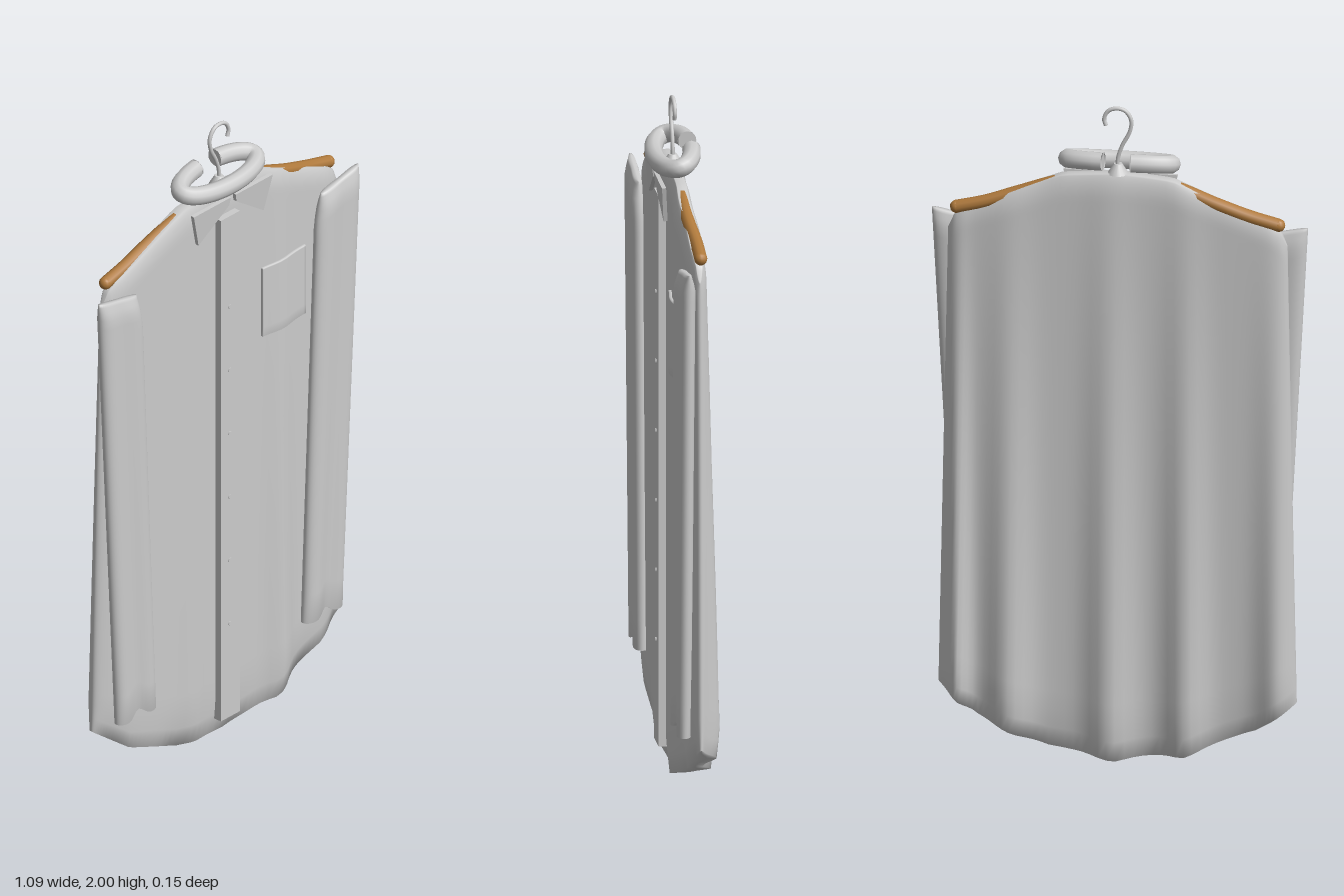
import * as THREE from 'three';

const GREY = new THREE.MeshStandardMaterial({ color: 0xcccccc, side: THREE.DoubleSide });
const WOOD = new THREE.MeshStandardMaterial({ color: 0xb07a3c });

const mix = (a, b, t) => a + (b - a) * t;
const bump = (x, c, w) => Math.exp(-(((x - c) / w) ** 2));

// Straight-line interpolation through [x, y] points
function along(points, x) {
  for (let i = 1; i < points.length; i++) {
    const [x0, y0] = points[i - 1], [x1, y1] = points[i];
    if (x <= x1) return mix(y0, y1, (x - x0) / (x1 - x0));
  }
  return points[points.length - 1][1];
}

function mesh(name, geometry, material = GREY) {
  const m = new THREE.Mesh(geometry, material);
  m.name = name;
  return m;
}

// Closed cloth volume: rings of front (+1) and back (-1) points stacked from hem to top
function clothVolume(nu, nt, point) {
  const pos = [], index = [], n = nu * 2;
  const rows = [[0, 0]];
  for (let j = 0; j <= nt; j++) rows.push([1 - (1 - j / nt) ** 1.6, 1]);
  rows.push([1, 0]);
  for (const [t, open] of rows) {
    for (let i = 0; i < n; i++) {
      const front = i < nu;
      const v = front ? -1 + (2 * i) / nu : 1 - (2 * (i - nu)) / nu;
      pos.push(...point(Math.sin((v * Math.PI) / 2), t, (front ? 1 : -1) * open));
    }
  }
  for (let j = 0; j < rows.length - 1; j++) {
    for (let i = 0; i < n; i++) {
      const a = j * n + i, b = j * n + ((i + 1) % n);
      index.push(a, b, b + n, a, b + n, a + n);
    }
  }
  const g = new THREE.BufferGeometry();
  g.setAttribute('position', new THREE.Float32BufferAttribute(pos, 3));
  g.setIndex(index);
  g.computeVertexNormals();
  return g;
}

// Shirt outline and folds
const HEM = [[0, 0], [0.2, 0.025], [0.4, 0.11], [0.52, 0.2]];
const SHOULDER = [[0, 1.8], [0.16, 1.785], [0.44, 1.668], [0.47, 1.645], [0.49, 1.6]];
const BACK_FOLDS = [[-0.47, 0.06], [-0.2, 0.055], [0.02, 0.06], [0.31, 0.06], [0.46, 0.03]];
const FRONT_FOLDS = [[-0.4, 0.08], [-0.14, 0.05], [0.22, 0.05], [0.43, 0.05]];
const FRONT_HEIGHT = [0.008, 0.014, 0.03, 0.006];

function frontZ(x, t) {
  const folds = FRONT_FOLDS.reduce((s, [c, w], i) => s + FRONT_HEIGHT[i] * bump(x, c, w), 0);
  return 0.026 + folds * mix(1, 0.15, t);
}
function backZ(x, t) {
  const folds = BACK_FOLDS.reduce((s, [c, w]) => s + 0.048 * bump(x, c, w), 0);
  return -0.028 - folds * mix(1, 0.1, t);
}
function bodyPoint(u, t, side) {
  const x = u * mix(0.518, 0.49, t);
  const y = mix(along(HEM, Math.abs(x)), along(SHOULDER, Math.abs(x)), t);
  const f = frontZ(x, t), b = backZ(x, t);
  const roundTop = t > 0.96 ? Math.sqrt(1 - 0.75 * ((t - 0.96) / 0.04) ** 2) : 1;
  const roundHem = mix(0.72, 1, Math.min(1, t / 0.06));
  const thick = Math.sqrt(Math.max(0, 1 - u ** 10)) * roundTop * roundHem;
  return [x, y, (f + b) / 2 + (side * thick * (f - b)) / 2];
}

// Flat hanging sleeve with a soft lengthwise fold
function sleevePoint(u, t, side) {
  const w = (u + 1) / 2; // 0 at the inner edge, 1 at the outer edge
  const inner = along([[0, 0.31], [0.93, 0.365], [1, 0.385]], t);
  const x = mix(inner, mix(0.468, 0.543, t), w);
  const y = mix(0.22 + 0.025 * bump(w, 0.5, 0.15), mix(1.61, 1.643, w), t);
  const crease = 0.012 * bump(w, 0.55, 0.22) * (1 - 0.6 * t);
  const thick = 0.026 * Math.sqrt(Math.max(0, 1 - u ** 4));
  const pinch = t > 0.97 ? 1 - 0.6 * (t - 0.97) / 0.03 : 1;
  return [x, y, 0.037 + side * pinch * (thick - crease)];
}

// Patch of cloth lying just in front of the body
function pocketPoint(u, t, side) {
  const x = mix(0.145, 0.33, (u + 1) / 2), y = mix(1.24, 1.465, t);
  return [x, y, frontZ(x, y / 1.8) + 0.002 + side * 0.006];
}

function tube(points, radius, steps = 40) {
  const curve = new THREE.CatmullRomCurve3(points.map((p) => new THREE.Vector3(...p)));
  return new THREE.TubeGeometry(curve, steps, radius, 10);
}

export function createModel() {
  const model = new THREE.Group();

  model.add(mesh('shirtBody', clothVolume(64, 48, bodyPoint)));

  // Sleeves
  const left = clothVolume(20, 24, sleevePoint);
  const right = clothVolume(20, 24, (u, t, s) => {
    const [x, y, z] = sleevePoint(-u, t, s);
    return [-x, y, z];
  });
  model.add(mesh('leftSleeve', left), mesh('rightSleeve', right));

  model.add(mesh('chestPocket', clothVolume(12, 12, pocketPoint)));

  // Button strip
  const strip = mesh('buttonStrip', new THREE.BoxGeometry(0.08, 1.66, 0.03));
  strip.position.set(-0.002, 0.88, 0.032);
  model.add(strip);
  for (let i = 0; i < 6; i++) {
    const button = mesh('button', new THREE.CylinderGeometry(0.007, 0.007, 0.006, 12));
    button.rotation.x = Math.PI / 2;
    button.position.set(-0.004, 0.36 + i * 0.21, 0.047);
    model.add(button);
  }

  // Collar roll, open at the back and tilted down at the front
  const collar = new THREE.Group();
  collar.name = 'collar';
  const ring = [];
  const gap = 0.27;
  for (let i = 0; i <= 24; i++) {
    const a = mix(gap, Math.PI * 2 - gap, i / 24);
    ring.push([0.15 * Math.sin(a) - 0.004, 1.832 + 0.016 * Math.cos(a), -0.05 * Math.cos(a)]);
  }
  collar.add(mesh('collarRoll', tube(ring, 0.027, 72)));
  for (const end of [ring[0], ring[24]]) {
    const cap = mesh('collarEnd', new THREE.CircleGeometry(0.027, 16));
    cap.position.set(...end);
    cap.rotation.y = Math.PI / 2;
    collar.add(cap);
  }

  // Collar points
  for (const side of [-1, 1]) {
    const shape = new THREE.Shape();
    shape.moveTo(side * 0.01, 0.11);
    shape.lineTo(side * 0.165, 0.11);
    shape.lineTo(side * 0.136, 0);
    shape.lineTo(side * 0.015, 0.085);
    const wing = mesh('collarPoint', new THREE.ExtrudeGeometry(shape, { depth: 0.012, bevelEnabled: false }));
    wing.position.set(0, 1.67, 0.036);
    wing.rotation.x = 0.08;
    collar.add(wing);
  }
  model.add(collar);

  // Wooden hanger arms, showing through near the shoulder ends
  const hanger = new THREE.Group();
  hanger.name = 'hanger';
  for (const side of [-1, 1]) {
    const arm = mesh('hangerArm', tube([
      [0, 1.775, 0], [side * 0.15, 1.765, 0], [side * 0.28, 1.722, -0.004 + side * 0.004],
      [side * 0.38, 1.688, -0.008], [side * 0.465, 1.666, -0.008],
    ], 0.019, 24), WOOD);
    const tip = mesh('hangerTip', new THREE.SphereGeometry(0.019, 12, 8), WOOD);
    tip.position.set(side * 0.465, 1.666, -0.008);
    hanger.add(arm, tip);
  }

  // Metal hook and its base
  hanger.add(mesh('hook', tube([
    [0, 1.78, 0], [0, 1.84, 0], [-0.012, 1.88, 0], [-0.034, 1.925, 0], [-0.038, 1.96, 0],
    [-0.022, 1.987, 0], [0.003, 1.994, 0], [0.028, 1.985, 0], [0.04, 1.96, 0], [0.035, 1.94, 0],
  ], 0.006, 60)));
  const base = mesh('hookBase', new THREE.CylinderGeometry(0.012, 0.03, 0.03, 16));
  base.position.y = 1.81;
  hanger.add(base);
  model.add(hanger);

  return model;
}
